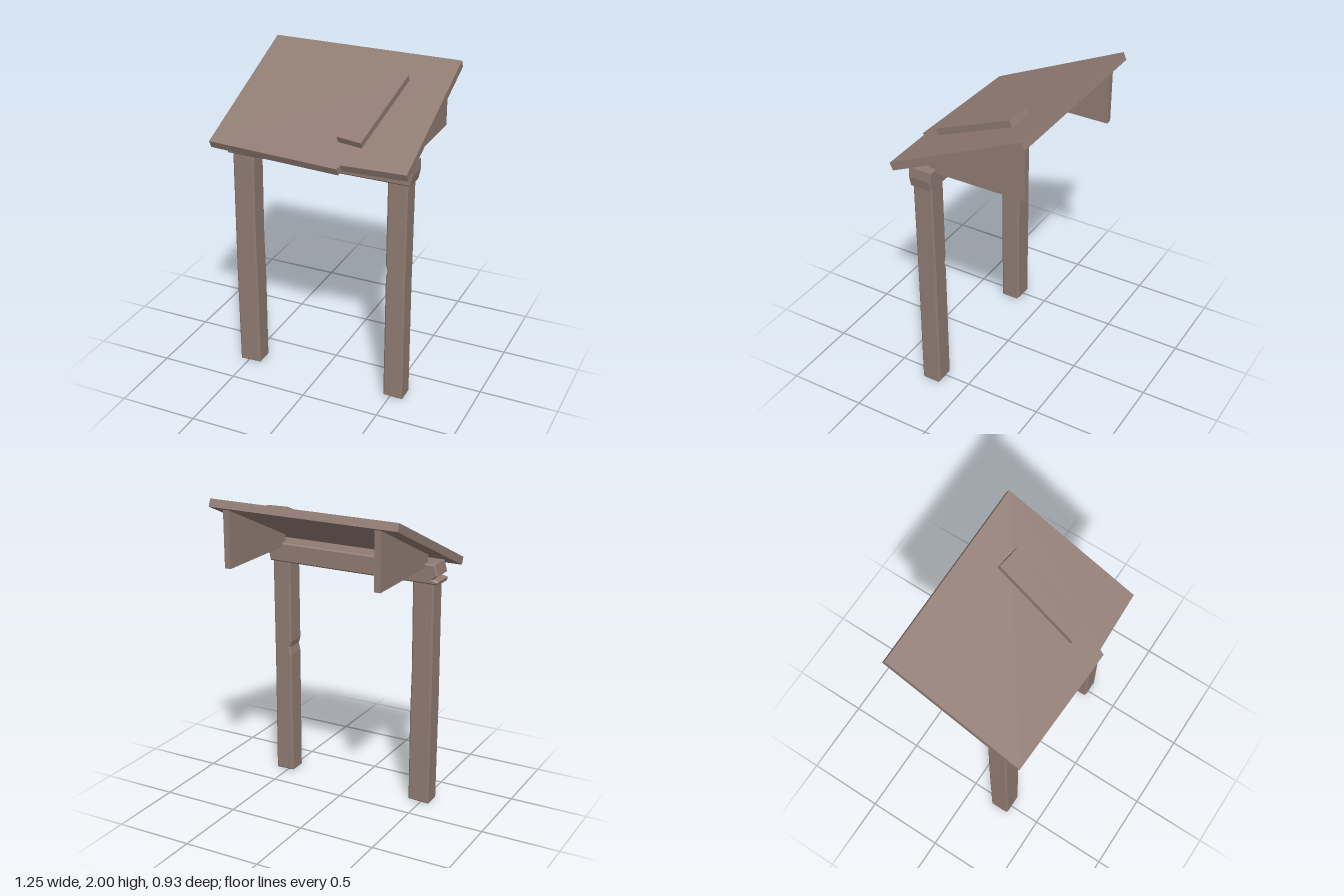
import * as THREE from 'three';

const SLOPE = Math.atan(0.455);

// Extrudes an outline of [x, y] points, optionally with chamfered edges kept inside the outline
function slab(points, depth, chamfer = 0) {
  const shape = new THREE.Shape(points.map(([x, y]) => new THREE.Vector2(x, y)));
  const geometry = new THREE.ExtrudeGeometry(shape, {
    depth: depth - 2 * chamfer,
    bevelEnabled: chamfer > 0,
    bevelSize: chamfer,
    bevelThickness: chamfer,
    bevelOffset: -chamfer,
    bevelSegments: 1,
  });
  return geometry.translate(0, 0, chamfer);
}

export function createModel() {
  const group = new THREE.Group();
  const wood = new THREE.MeshStandardMaterial({ color: 0x8f7b72 });
  wood.name = 'weathered wood';

  const add = (name, geometry) => {
    const mesh = new THREE.Mesh(geometry, wood);
    mesh.name = name;
    group.add(mesh);
    return mesh;
  };

  // Posts, the left one chipped on its inner side
  const rightPost = [
    [-0.555, 0.005], [-0.415, 0.012], [-0.413, 0.6], [-0.418, 0.9],
    [-0.413, 1.49], [-0.553, 1.49], [-0.558, 0.7],
  ];
  const leftPost = [
    [0.457, 0.012], [0.583, 0.008], [0.58, 0.8], [0.583, 1.49], [0.458, 1.49],
    [0.456, 0.94], [0.468, 0.9], [0.457, 0.85],
  ];
  add('rightPost', slab(rightPost, 0.13, 0.01)).position.z = 0.165;
  add('leftPost', slab(leftPost, 0.13, 0.01)).position.z = 0.165;

  // Crossbeam with a split right end
  const beam = [
    [-0.583, 1.48], [0.597, 1.48], [0.61, 1.545], [0.607, 1.607], [-0.565, 1.607],
    [-0.582, 1.535], [-0.55, 1.512], [-0.588, 1.502],
  ];
  add('crossbeam', slab(beam, 0.15, 0.009)).position.z = 0.155;

  // Triangular brackets under the roof, drawn with the back to the right
  const bracket = [[-0.2, 1.58], [0.43, 1.58], [0.43, 1.94], [-0.2, 1.653]];
  for (const [name, x] of [['rightBracket', -0.478], ['leftBracket', 0.527]]) {
    const mesh = add(name, slab(bracket, 0.04).translate(0, 0, -0.02));
    mesh.rotation.y = Math.PI / 2;
    mesh.position.x = x;
  }

  // Sloped roof: outlines run up the slope, depth runs along its normal
  const roof = new THREE.Group();
  roof.name = 'roof';
  roof.position.y = 1.7975;
  roof.rotation.x = SLOPE - Math.PI / 2;
  group.add(roof);

  const board = [
    [-0.627, -0.48], [0.215, -0.512], [0.228, -0.478], [0.623, -0.462],
    [0.622, 0.492], [-0.613, 0.484],
  ];
  const boardMesh = add('roofBoard', slab(board, 0.05));
  boardMesh.position.z = -0.05;

  // Loose plank nailed on top
  const plank = [[0.14, -0.309], [0.297, -0.327], [0.37, 0.266], [0.215, 0.288]];
  const plankMesh = add('roofPlank', slab(plank, 0.042));

  roof.add(boardMesh, plankMesh);
  return group;
}
